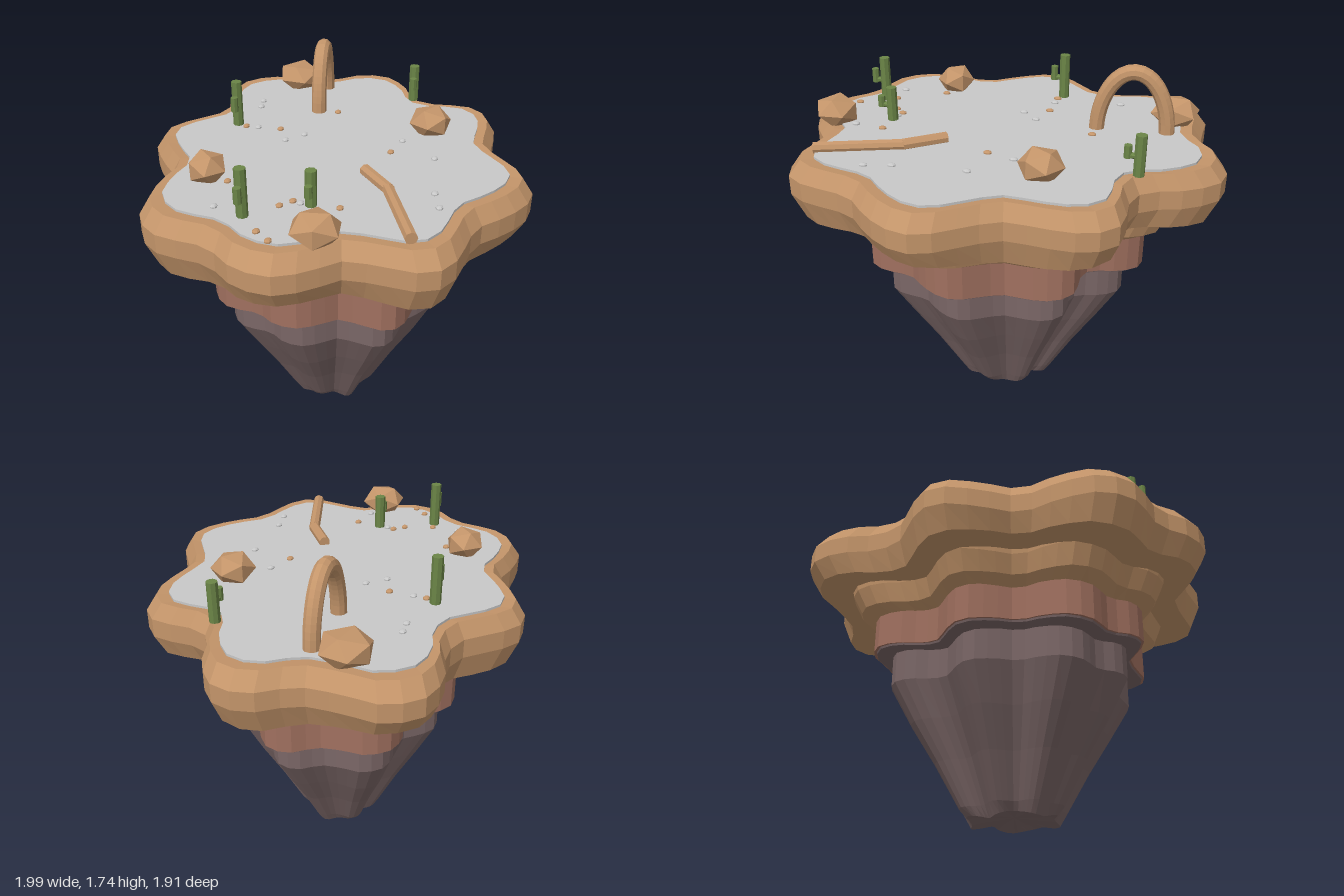
import * as THREE from 'three';

const flat = (name, color) => {
  const m = new THREE.MeshStandardMaterial({ color, flatShading: true });
  m.name = name;
  return m;
};

// Lobed island outline as x, z pairs, clockwise seen from above
const OUTLINE = [
  .43, -.96, .59, -.88, .65, -.75, .75, -.57, .925, -.47, .995, -.335, .93, -.16, .79, 0, .80, .13,
  .88, .29, .83, .43, .68, .52, .49, .60, .40, .75, .30, .91, .165, .95, 0, .92, -.155, .87, -.29, .90,
  -.475, .925, -.57, .866, -.625, .72, -.69, .56, -.82, .5, -.947, .40, -.984, .24, -.94, .05,
  -.995, -.19, -.93, -.35, -.77, -.44, -.58, -.5, -.50, -.64, -.395, -.80, -.29, -.845, -.155, -.81,
  0, -.76, .14, -.80, .27, -.91,
];
const SEG = 64;
const knots = [];
for (let i = 0; i < OUTLINE.length; i += 2) knots.push(new THREE.Vector3(OUTLINE[i], 0, OUTLINE[i + 1]));
const ring = new THREE.CatmullRomCurve3(knots, true).getSpacedPoints(SEG).slice(0, SEG);

// Skin rings of [scale, y, wave height], listed from top to bottom
function layer(rings) {
  const pos = [], index = [];
  rings.forEach(([s, y, wave = 0], r) => {
    ring.forEach((p, i) => {
      const a = Math.atan2(p.z, p.x);
      pos.push(p.x * s, y + wave * Math.sin(5 * a + 0.8), p.z * s);
      if (r === rings.length - 1) return;
      const n = (i + 1) % SEG, k = r * SEG, d = k + SEG;
      index.push(k + i, k + n, d + i, k + n, d + n, d + i);
    });
  });
  const g = new THREE.BufferGeometry();
  g.setAttribute('position', new THREE.Float32BufferAttribute(pos, 3));
  g.setIndex(index);
  g.computeVertexNormals();
  return g;
}

export function createModel() {
  const group = new THREE.Group();
  const sand = flat('sandstone', 0xc4956a);
  const clay = flat('red clay', 0xa0705f);
  const stone = flat('dark stone', 0x7a6666);
  const pale = flat('pale grey', 0xc8c8c8);
  const green = flat('cactus green', 0x6b8547);

  const add = (name, geo, mat, parent = group) => {
    const m = new THREE.Mesh(geo, mat);
    m.name = name;
    parent.add(m);
    return m;
  };

  // Island layers
  add('ground', layer([[0, 1.418], [.885, 1.418], [.885, 1.4]]), pale);
  add('rim', layer([[.87, 1.405], [.945, 1.412], [1, 1.34], [1, 1.25], [.945, 1.14, .02], [.7, 1.13, .02]]), sand);
  add('lowerSandstone', layer([[.79, 1.16], [.785, 1.13], [.74, 1.03, .01], [.64, .98, .015], [.5, .98]]), sand);
  add('clayBand', layer([[.6, 1.01], [.67, 1], [.67, .82, .015], [.6, .82, .015]]), clay);
  add('stoneRoot', layer([
    [.66, .825, .015], [.655, .81, .015], [.58, .8, .015], [.58, .65, .01], [.48, .47], [.365, .28], [.25, .07],
    [.215, .02, .012], [.15, .03, .01], [0, .04],
  ]), stone);

  // Boulders: x, z, radius
  [[.55, -.63, .125], [-.59, -.26, .097], [-.72, .45, .115], [.44, .28, .108]].forEach(([x, z, r], i) => {
    const b = add('boulder', new THREE.IcosahedronGeometry(r, 0), sand);
    b.position.set(x, 1.468, z);
    b.rotation.y = i * 0.9 + 0.3;
    b.scale.y = .07 / (r * .86);
  });

  // Stone arch
  const arch = [];
  for (let i = 0; i <= 12; i++) {
    const t = Math.PI * i / 12, c = -Math.cos(t);
    arch.push(new THREE.Vector3(.453 + .148 * c, 1.405 + .303 * Math.sin(t), -.395 - .082 * c));
  }
  add('arch', new THREE.TubeGeometry(new THREE.CatmullRomCurve3(arch), 24, .038, 10), sand);

  // Bent fallen log, built from two overlapping lengths
  const rod = (name, a, b, r, mat, parent, sides = 8) => {
    const dir = b.clone().sub(a);
    const m = add(name, new THREE.CylinderGeometry(r, r, dir.length(), sides), mat, parent);
    m.position.copy(a).add(b).multiplyScalar(.5);
    m.quaternion.setFromUnitVectors(new THREE.Vector3(0, 1, 0), dir.normalize());
    return m;
  };
  const V = (x, y, z) => new THREE.Vector3(x, y, z);
  const log = new THREE.Group();
  log.name = 'fallenLog';
  group.add(log);
  rod('logLength', V(-.51, 1.432, .765), V(-.22, 1.432, .465), .028, sand, log);
  rod('logLength', V(-.225, 1.432, .475), V(-.13, 1.432, .28), .028, sand, log);

  // Cacti: x, z, height
  [[-.07, -.54, .235], [.75, -.01, .19], [-.755, .095, .23], [-.515, .27, .175]].forEach(([x, z, h]) => {
    const c = new THREE.Group();
    c.name = 'cactus';
    c.position.set(x, 1.41, z);
    group.add(c);
    rod('trunk', V(0, 0, 0), V(0, h, 0), .026, green, c);
    rod('armBranch', V(0, h * .48, 0), V(-.048, h * .48, .024), .014, green, c);
    rod('armTip', V(-.048, h * .42, .024), V(-.048, h * .73, .024), .018, green, c);
  });

  // Pebbles, as x, z pairs
  const pebbles = (name, mat, list) => {
    for (let i = 0; i < list.length; i += 2) {
      const p = add(name, new THREE.SphereGeometry(.021, 8, 5), mat);
      p.position.set(list[i], 1.421, list[i + 1]);
      p.scale.set(1, .5, .8);
      p.rotation.y = .4;
    }
  };
  pebbles('greyPebble', pale, [
    .165, -.59, .23, -.63, -.045, -.43, -.08, -.225, .025, -.19, -.77, -.053, -.53, .225, -.605, .433,
    .25, .24, .175, .465, -.118, .64, -.215, .72,
  ]);
  pebbles('sandPebble', sand, [
    -.07, -.487, .005, -.326, .347, -.22, -.567, -.16, -.71, .064, -.818, .225, -.6, .166, -.535, .187,
    -.465, .385, .112, .262, -.845, .31,
  ]);

  return group;
}
